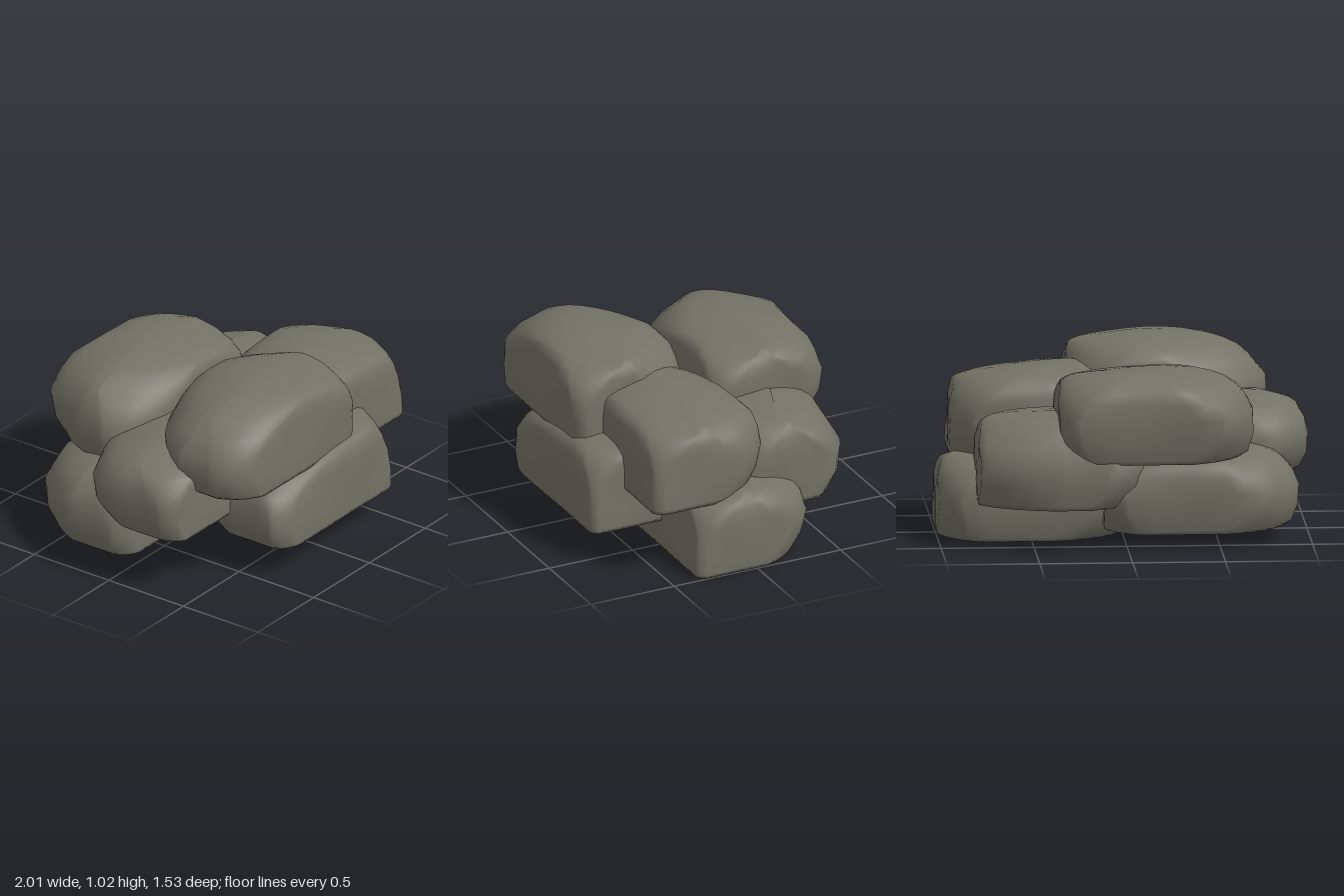
import * as THREE from 'three';

const STEPS = 6; // points along each straight side and around each corner

// Vertical build-up of a stone: [height, left, right, front, back insets]
const LEVELS = [
  [0.00, 0.06, 0.005, 0.01, 0.06],
  [0.05, 0.03, 0.00, 0.00, 0.05],
  [0.25, 0.00, 0.00, 0.00, 0.015],
  [0.50, 0.00, 0.00, 0.00, 0.00],
  [0.68, 0.03, 0.00, 0.003, 0.01],
  [0.80, 0.07, 0.01, 0.01, 0.025],
  [0.88, 0.12, 0.02, 0.035, 0.08],
  [0.93, 0.18, 0.04, 0.08, 0.15],
  [0.97, 0.25, 0.08, 0.18, 0.25],
  [1.00, 0.36, 0.22, 0.36, 0.40],
];

// Bounds of each stone, the [x, z] size of its worn corners seen from above
// (front right, front left, back left, back right), the rise of its top to +x and +z
// and the extra slope of its left and back shoulders
const STONES = [
  { name: 'baseRightStone', x: [-0.08, 1.0], y: [0, 0.44], z: [-0.365, 0.35],
    corners: [[0.04, 0.05], [0.12, 0.12], [0.25, 0.2], [0.12, 0.16]], tilt: [0.01, -0.02], lean: [0, 0.05] },
  { name: 'baseBackLeftStone', x: [-0.93, 0.12], y: [0.08, 0.53], z: [-0.655, 0.04],
    corners: [[0.06, 0.06], [0.1, 0.1], [0.22, 0.34], [0.1, 0.1]], tilt: [0, 0], lean: [0, 0.05] },
  { name: 'frontStone', x: [-0.485, 0.545], y: [0.16, 0.615], z: [0.06, 0.765],
    corners: [[0.04, 0.04], [0.12, 0.08], [0.28, 0.22], [0.12, 0.15]], tilt: [0.035, 0], lean: [0, 0] },
  { name: 'backRightStone', x: [-0.13, 0.8], y: [0.23, 0.725], z: [-0.735, -0.03],
    corners: [[0.07, 0.07], [0.15, 0.15], [0.18, 0.2], [0.42, 0.12]], tilt: [-0.015, 0], lean: [0, 0.3] },
  { name: 'leftStone', x: [-0.995, 0.05], y: [0.31, 0.74], z: [-0.27, 0.42],
    corners: [[0.06, 0.06], [0.08, 0.1], [0.22, 0.22], [0.12, 0.12]], tilt: [0, 0], lean: [-0.1, 0] },
  { name: 'middleRightStone', x: [-0.12, 0.92], y: [0.39, 0.88], z: [-0.13, 0.57],
    corners: [[0.05, 0.06], [0.12, 0.1], [0.3, 0.2], [0.12, 0.16]], tilt: [-0.04, -0.01], lean: [0, 0] },
  { name: 'topBackStone', x: [-0.69, 0.375], y: [0.48, 0.955], z: [-0.76, -0.06],
    corners: [[0.06, 0.06], [0.26, 0.2], [0.18, 0.28], [0.1, 0.12]], tilt: [-0.015, -0.01], lean: [0.05, 0] },
  { name: 'topFrontStone', x: [-0.8, 0.285], y: [0.55, 1.02], z: [0.01, 0.72],
    corners: [[0.07, 0.06], [0.18, 0.18], [0.3, 0.28], [0.17, 0.24]], tilt: [-0.02, 0.005], lean: [0.2, 0] },
];

function seeded(seed) {
  let s = seed * 7919 + 17;
  return () => (s = (s * 16807) % 2147483647) / 2147483647;
}

// Rectangle with worn corners, walked from front right through left and back
function outline(x0, x1, z0, z1, corners, t) {
  const spots = [[x1, z1, 1, 1], [x0, z1, -1, 1], [x0, z0, -1, -1], [x1, z0, 1, -1]];
  const topWear = 0.2 * Math.max(0, (t - 0.45) / 0.55) ** 1.5;
  const footWear = 0.1 * Math.max(0, 1 - t / 0.35);
  const arcs = spots.map(([x, z, sx, sz], i) => {
    const wear = topWear + (sz < 0 ? footWear : 0);
    const dx = sx * Math.min(corners[i][0] + wear, (x1 - x0) * 0.45);
    const dz = sz * Math.min(corners[i][1] + wear, (z1 - z0) * 0.45);
    const alongX = new THREE.Vector2(x - dx, z), alongZ = new THREE.Vector2(x, z - dz);
    const control = new THREE.Vector2(x - dx * 0.27, z - dz * 0.27);
    return i % 2 === 0
      ? new THREE.QuadraticBezierCurve(alongZ, control, alongX)
      : new THREE.QuadraticBezierCurve(alongX, control, alongZ);
  });
  return arcs.flatMap((arc, i) => {
    const side = new THREE.LineCurve(arc.v2, arcs[(i + 1) % 4].v0);
    return [...arc.getPoints(STEPS).slice(0, -1), ...side.getPoints(STEPS).slice(0, -1)];
  });
}

function stoneGeometry({ x, y, z, corners, tilt, lean }, seed) {
  const rand = seeded(seed);
  rand();
  const p = Array.from({ length: 5 }, () => rand() * Math.PI * 2);
  const w = x[1] - x[0], h = y[1] - y[0], d = z[1] - z[0];
  const cx = (x[0] + x[1]) / 2, cz = (z[0] + z[1]) / 2;
  const pos = [], index = [];

  // broad hollows and swellings, calm near the flat underside
  const place = (px, pz, t) => {
    const u = (px - cx) / (w / 2), v = (pz - cz) / (d / 2);
    const a = Math.atan2(v, u);
    const lump = (Math.sin(3 * a + 4 * t + p[0]) + Math.sin(5 * a - 5 * t + p[1])
      + 0.5 * Math.sin(9 * a + 7 * t + p[2]) - 0.8) * 0.006 * Math.min(1, 0.2 + t * 1.5);
    const wave = 0.008 * Math.sin(3 * u + p[3]) * Math.cos(2.6 * v + p[4]);
    pos.push(px + u * lump, y[0] + t * h + t * t * (wave + tilt[0] * u + tilt[1] * v), pz + v * lump);
  };

  LEVELS.forEach(([t, left, right, front, back]) => {
    const rise = Math.max(0, t - 0.45);
    const x0 = x[0] + (left + lean[0] * rise) * w, z0 = z[0] + (back + lean[1] * rise) * d;
    outline(x0, x[1] - right * w, z0, z[1] - front * d, corners, t).forEach((q) => place(q.x, q.y, t));
  });

  // sides
  const seg = STEPS * 8, last = (LEVELS.length - 1) * seg;
  for (let i = 0; i < last; i += seg) {
    for (let j = 0; j < seg; j++) {
      const a = i + j, b = i + (j + 1) % seg;
      index.push(a, a + seg, b, b, a + seg, b + seg);
    }
  }

  // crown and flat underside
  const top = last + seg, under = top + 1;
  place(cx + 0.06 * w, cz, 1.005);
  place(cx, cz, 0);
  for (let j = 0; j < seg; j++) {
    const k = (j + 1) % seg;
    index.push(last + j, top, last + k, under, j, k);
  }

  const geometry = new THREE.BufferGeometry();
  geometry.setAttribute('position', new THREE.Float32BufferAttribute(pos, 3));
  geometry.setIndex(index);
  geometry.computeVertexNormals();
  return geometry;
}

export function createModel() {
  const group = new THREE.Group();
  group.name = 'stonePile';
  const material = new THREE.MeshStandardMaterial({ color: 0x727266 });
  STONES.forEach((stone, i) => {
    const mesh = new THREE.Mesh(stoneGeometry(stone, i + 1), material);
    mesh.name = stone.name;
    group.add(mesh);
  });
  return group;
}
